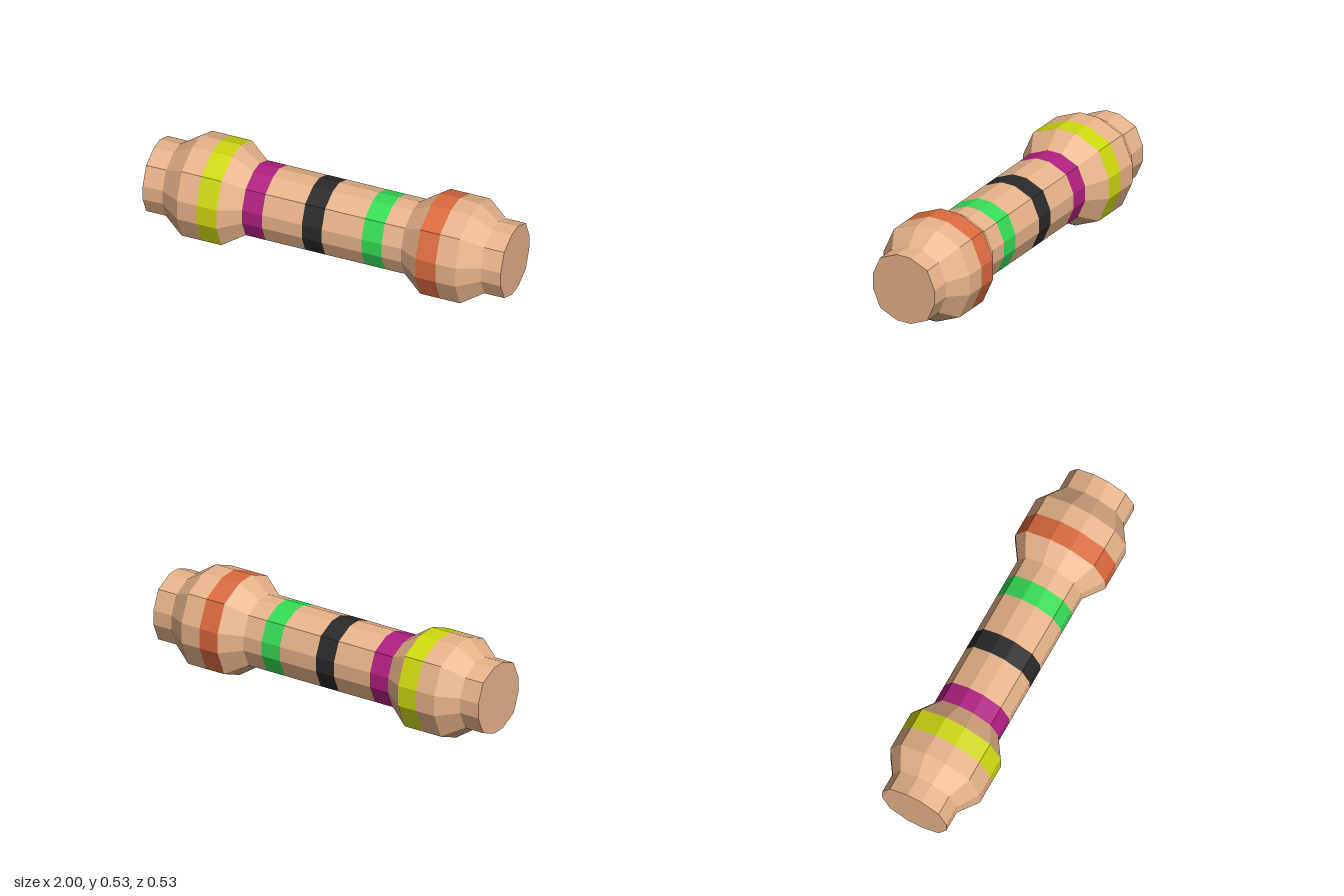
import * as THREE from 'three';

const CENTER_Y = 0.263;
const SMALL = 0.715; // scale of the shaft section against the bulges
const UNIT = 1 / 9;

// Twelve-sided section in (y, z): a square with its corners and sides softened
const RING = [];
for (let q = 0; q < 4; q++) {
  for (const [y, z] of [[0.263, 0.057], [0.2, 0.2], [0.057, 0.263]]) {
    RING.push([[y, z], [-z, y], [-y, -z], [z, -y]][q]);
  }
}

const point = (x, scale, i) => {
  const [y, z] = RING[i % RING.length];
  return [x, CENTER_Y + y * scale, z * scale];
};

// Size of the section along the length (x counted in units, symmetric)
const PROFILE = [[0, SMALL], [4, SMALL], [5, 1], [7, 1], [8, SMALL], [9, SMALL]];
function scaleAt(u) {
  const a = Math.abs(u);
  const k = Math.max(1, PROFILE.findIndex(([x]) => x >= a));
  const [x0, s0] = PROFILE[k - 1];
  const [x1, s1] = PROFILE[k];
  return s0 + (s1 - s0) * (a - x0) / (x1 - x0);
}

// Skin through the stations, with optional flat caps at either end
function loft(stations, capStart = false, capEnd = false) {
  const v = [];
  for (let k = 0; k < stations.length - 1; k++) {
    const [u0, u1] = [stations[k], stations[k + 1]];
    for (let i = 0; i < RING.length; i++) {
      const a = point(u0 * UNIT, scaleAt(u0), i);
      const b = point(u0 * UNIT, scaleAt(u0), i + 1);
      const c = point(u1 * UNIT, scaleAt(u1), i + 1);
      const d = point(u1 * UNIT, scaleAt(u1), i);
      v.push(...a, ...b, ...c, ...a, ...c, ...d);
    }
  }
  const cap = (u, flip) => {
    for (let i = 0; i < RING.length; i++) {
      const a = point(u * UNIT, scaleAt(u), i);
      const b = point(u * UNIT, scaleAt(u), i + 1);
      v.push(u * UNIT, CENTER_Y, 0, ...(flip ? [...b, ...a] : [...a, ...b]));
    }
  };
  if (capStart) cap(stations[0], true);
  if (capEnd) cap(stations[stations.length - 1], false);
  const geometry = new THREE.BufferGeometry();
  geometry.setAttribute('position', new THREE.Float32BufferAttribute(v, 3));
  geometry.computeVertexNormals();
  return geometry;
}

export function createModel() {
  const group = new THREE.Group();
  group.name = 'bandedResistor';
  const add = (name, geometry, material) => {
    const mesh = new THREE.Mesh(geometry, material);
    mesh.name = name;
    group.add(mesh);
  };
  const paint = (color) => new THREE.MeshStandardMaterial({ color, flatShading: true });
  const tan = paint(0xe8b48a);

  // Tan body sections between the bands
  add('rightEnd', loft([-9, -8, -7, -6], true, false), tan);
  add('rightTaper', loft([-5, -4]), tan);
  add('rightShaft', loft([-3, -1]), tan);
  add('middleShaft', loft([0, 2]), tan);
  add('leftShaftAndTaper', loft([3, 4, 5]), tan);
  add('leftEnd', loft([6, 7, 8, 9], false, true), tan);

  // Coloured bands, each one unit wide
  const bands = [
    ['yellowBand', -6, 0xced90f],
    ['magentaBand', -4, 0xb01f80],
    ['blackBand', -1, 0x2a2a2a],
    ['greenBand', 2, 0x35dc55],
    ['orangeBand', 5, 0xdb6b3f],
  ];
  for (const [name, u, color] of bands) add(name, loft([u, u + 1]), paint(color));
  return group;
}
